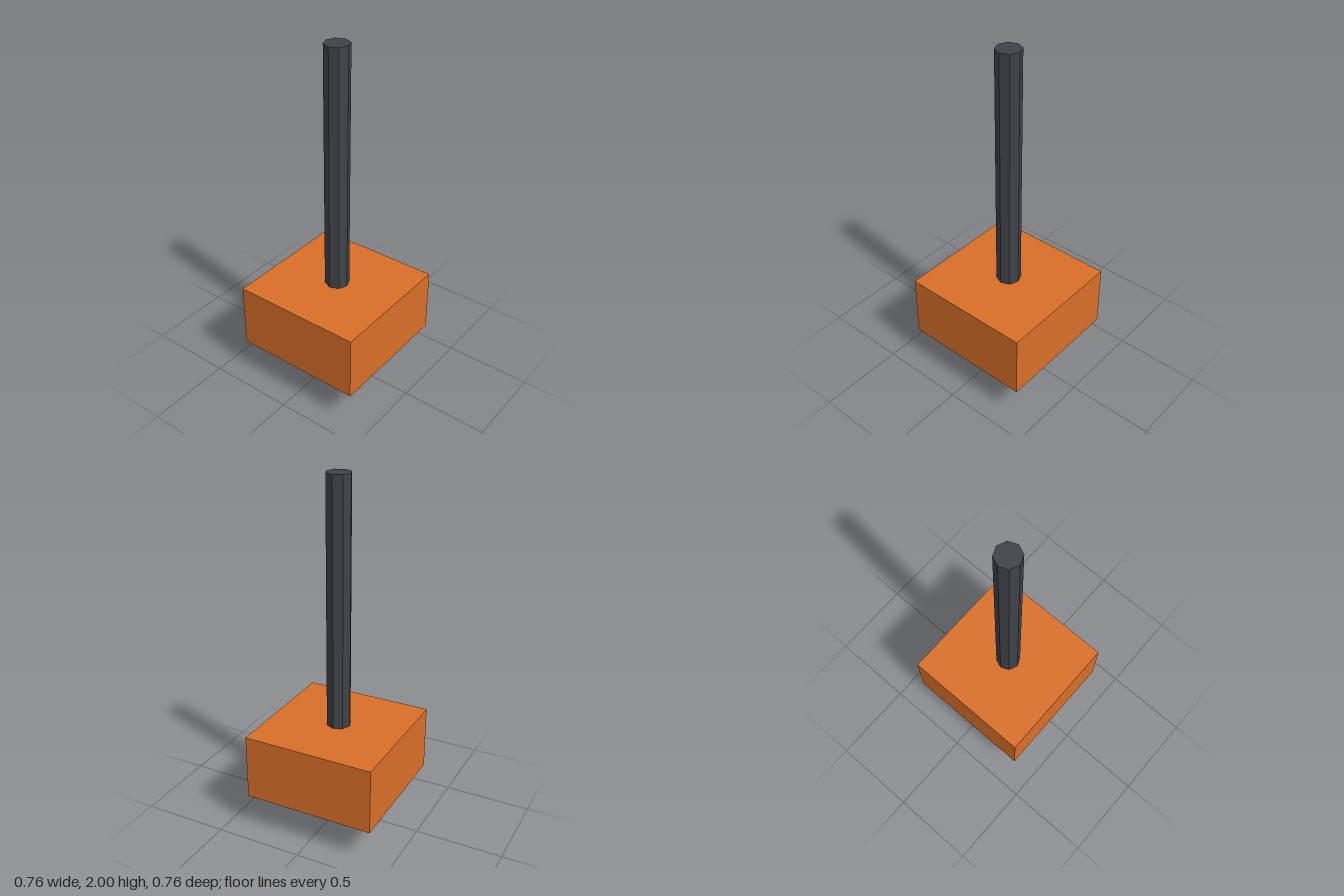
import * as THREE from 'three';

export function createModel() {
  const model = new THREE.Group();

  const add = (name, geometry, color, y) => {
    const material = new THREE.MeshStandardMaterial({ color, flatShading: true });
    const mesh = new THREE.Mesh(geometry, material);
    mesh.name = name;
    mesh.position.y = y;
    model.add(mesh);
    return mesh;
  };

  const blockBottom = 0.195, blockTop = 0.575, height = 2;

  // Octagonal shaft rising from the block
  const shaftLength = height - blockTop;
  add('shaft', new THREE.CylinderGeometry(0.07, 0.07, shaftLength, 8), 0x3f4248, blockTop + shaftLength / 2);

  // Square block
  add('block', new THREE.BoxGeometry(0.76, blockTop - blockBottom, 0.76), 0xd96f28, (blockBottom + blockTop) / 2);

  // Pointed tip facing down
  const tip = add('tip', new THREE.ConeGeometry(0.095, blockBottom, 8), 0x8a909c, blockBottom / 2);
  tip.rotation.x = Math.PI;

  return model;
}
